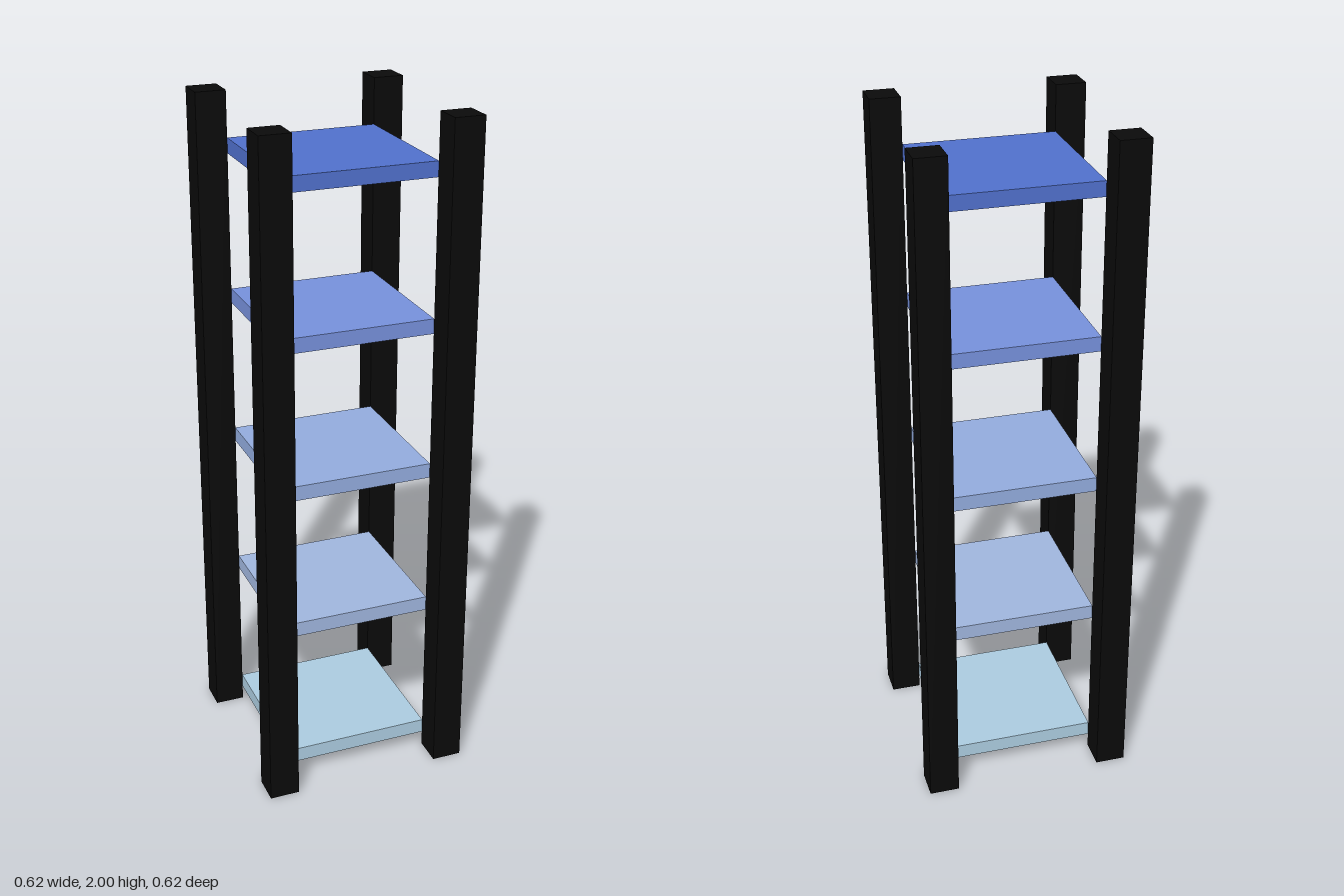
import * as THREE from 'three';

const POST = 0.0889;    // post thickness
const SHELF = 0.4444;   // shelf width and depth
const THICK = 0.0444;   // shelf thickness
const STEP = 0.4444;    // distance between shelves

export function createModel() {
  const group = new THREE.Group();
  group.name = 'shelfTower';

  const add = (name, geometry, material, x, y, z) => {
    const mesh = new THREE.Mesh(geometry, material);
    mesh.name = name;
    mesh.position.set(x, y, z);
    group.add(mesh);
  };

  // Four corner posts, touching the shelves only at their corners
  const postGeometry = new THREE.BoxGeometry(POST, 2, POST);
  const postMaterial = new THREE.MeshStandardMaterial({ color: 0x0a0a0a });
  const offset = (SHELF + POST) / 2;
  for (const [side, x] of [['Left', offset], ['Right', -offset]]) {
    for (const [end, z] of [['front', offset], ['back', -offset]]) {
      add(`${end}${side}Post`, postGeometry, postMaterial, x, 1, z);
    }
  }

  // Five shelves, from pale at the bottom to deep blue at the top
  const shelfGeometry = new THREE.BoxGeometry(SHELF, THICK, SHELF);
  const colors = [0xabcbdf, 0x9fb5dd, 0x92abdd, 0x7690db, 0x5070cc];
  colors.forEach((color, i) => {
    const material = new THREE.MeshStandardMaterial({ color });
    add(`shelf${i + 1}`, shelfGeometry, material, 0, 0.0667 + i * STEP, 0);
  });

  return group;
}
